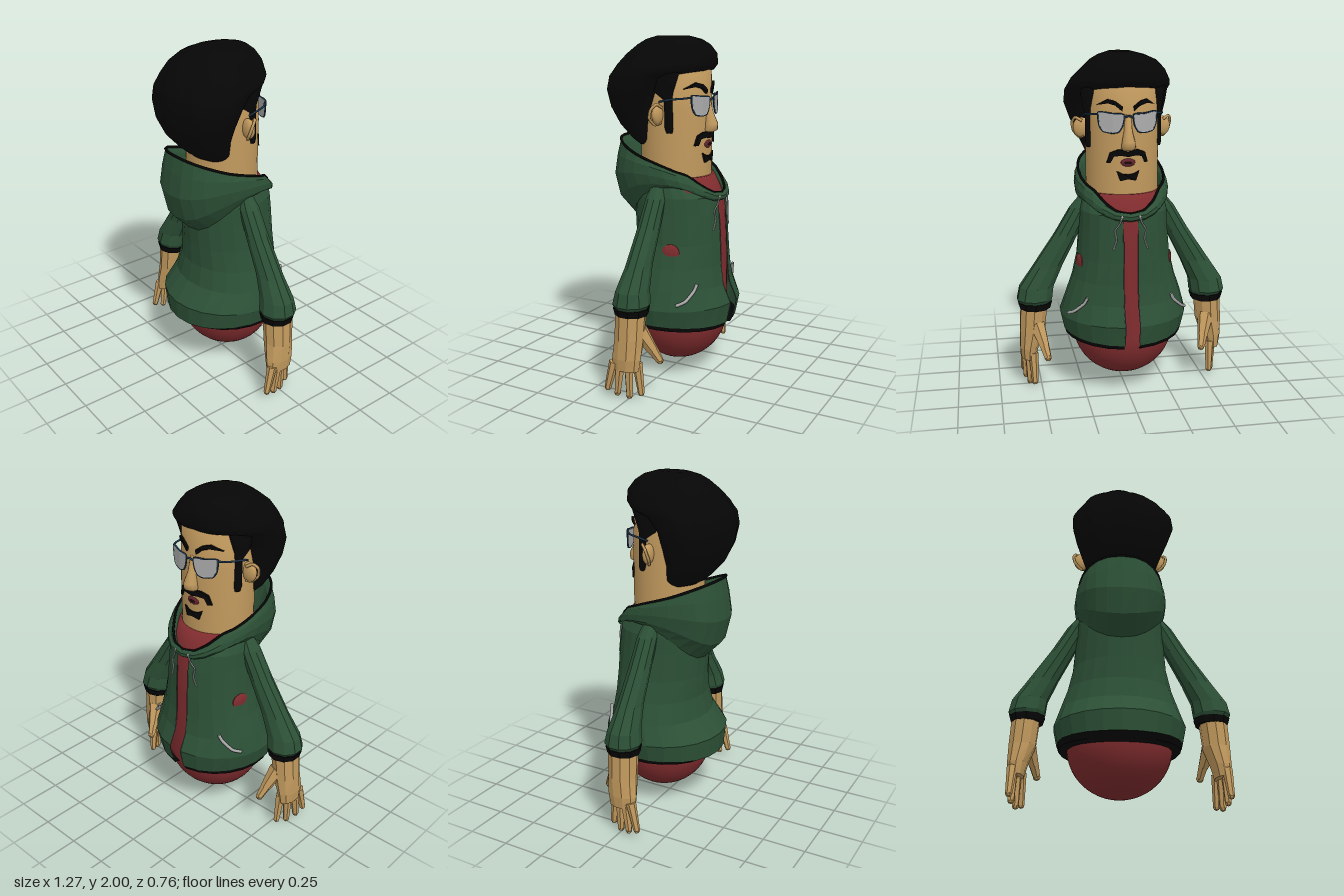
import * as THREE from 'three';
import { mergeVertices } from 'three/addons/utils/BufferGeometryUtils.js';

const mat = (color, flat = false, side = THREE.FrontSide) =>
  new THREE.MeshStandardMaterial({ color, flatShading: flat, side });
const GREEN = 0x2c5036, RED = 0x802c2e, SKIN = 0xc29a5e, BLACK = 0x060606, STEEL = 0xaaaaaa, BLUE = 0x1f3a52;
const V = (x, y, z) => new THREE.Vector3(x, y, z);
const spow = (v, e) => Math.sign(v) * Math.abs(v) ** e;

// Grid surface from fn(u, v) -> [x, y, z]
function surface(fn, nu, nv) {
  const pos = [], index = [];
  for (let j = 0; j <= nv; j++) for (let i = 0; i <= nu; i++) pos.push(...fn(i / nu, j / nv));
  for (let j = 0; j < nv; j++) for (let i = 0; i < nu; i++) {
    const a = j * (nu + 1) + i, b = a + 1, c = a + nu + 1, d = c + 1;
    index.push(a, b, d, a, d, c);
  }
  let g = new THREE.BufferGeometry();
  g.setAttribute('position', new THREE.Float32BufferAttribute(pos, 3));
  g.setIndex(index);
  g = mergeVertices(g, 1e-5);
  g.computeVertexNormals();
  return g;
}

// Closed loft of horizontal rings [y, centreX, halfWidth, zBack, zFront], bottom to top
function loft(rings, sides, { e = 1, wave = () => 1, steps = 1 } = {}) {
  const mid = r => (r[3] + r[4]) / 2;
  const first = rings[0], last = rings[rings.length - 1];
  const n = (rings.length - 1) * steps;
  const at = t => {
    const i = Math.min(Math.floor(t), rings.length - 2), f = t - i;
    return rings[i].map((v, k) => v + (rings[i + 1][k] - v) * f);
  };
  const rows = [[first[0], first[1], 0, mid(first), mid(first)]];
  for (let j = 0; j <= n; j++) rows.push(at(j / steps));
  rows.push([last[0], last[1], 0, mid(last), mid(last)]);
  return surface((u, v) => {
    const [y, cx, rx, zb, zf] = rows[Math.round(v * (rows.length - 1))];
    const a = (u % 1) * Math.PI * 2, k = wave(a, y);
    return [cx + rx * spow(Math.sin(a), e) * k, y, (zb + zf) / 2 + (zb - zf) / 2 * spow(Math.cos(a), e) * k];
  }, sides, rows.length - 1);
}

// Tapered rod between two points
function rod(a, b, ra, rb, sides = 6) {
  const g = new THREE.CylinderGeometry(rb, ra, a.distanceTo(b), sides);
  g.applyQuaternion(new THREE.Quaternion().setFromUnitVectors(V(0, 1, 0), b.clone().sub(a).normalize()));
  const m = a.clone().add(b).multiplyScalar(0.5);
  return g.translate(m.x, m.y, m.z);
}
const tube = (pts, r, closed = false) =>
  new THREE.TubeGeometry(new THREE.CatmullRomCurve3(pts, closed, 'catmullrom', 0.3), pts.length * 5, r, 5, closed);

// Flat outline given thickness and bent over the front of the face
const faceZ = x => -Math.sqrt(0.212 ** 2 - x * x) + 0.006;
const glassZ = x => -0.222 + 1.6 * x * x;
function decal(pts, depth, zAt = faceZ) {
  const shape = new THREE.Shape(pts.map(p => new THREE.Vector2(...p)));
  const g = new THREE.ExtrudeGeometry(shape, { depth, bevelEnabled: false });
  const p = g.attributes.position;
  for (let i = 0; i < p.count; i++) p.setZ(i, zAt(p.getX(i)) - depth + p.getZ(i));
  g.computeVertexNormals();
  return g;
}

// Jacket rows: [y, halfWidth, zBack, zFront]
const JACKET = [[0.37, 0.358, 0.335, -0.36], [0.47, 0.38, 0.345, -0.382], [0.58, 0.348, 0.25, -0.335], [0.7, 0.307, 0.225, -0.32],
  [0.83, 0.277, 0.228, -0.315], [1.0, 0.263, 0.24, -0.305], [1.1, 0.26, 0.24, -0.292], [1.19, 0.24, 0.2, -0.2]];
const HEM = [[0.335, 0.3, 0.25, -0.3], [0.345, 0.348, 0.29, -0.345], [0.378, 0.358, 0.333, -0.36]];
const openShell = (rows, gap, sides) => surface((u, v) => {
  const [y, rx, zb, zf] = rows[Math.round(v * (rows.length - 1))];
  const g = Math.asin(gap / rx), a = Math.PI + g + u * 2 * (Math.PI - g);
  const dip = y < 0.4 ? 0.02 * Math.cos(a) ** 2 : 0;
  return [rx * Math.sin(a), y - dip, (zb + zf) / 2 + (zb - zf) / 2 * Math.cos(a)];
}, sides, rows.length - 1);

// Hood profile: [halfWidth, zBack, zFront, yBack, ySide, yFront, frontDip]
const HOOD = [[0.252, 0.235, -0.298, 0.94, 1.16, 1.07, 0], [0.268, 0.335, -0.302, 1.04, 1.18, 1.1, 0.02],
  [0.275, 0.37, -0.292, 1.19, 1.23, 1.14, 0.04], [0.268, 0.35, -0.265, 1.32, 1.28, 1.175, 0.06],
  [0.25, 0.33, -0.245, 1.42, 1.31, 1.195, 0.08], [0.235, 0.3, -0.232, 1.38, 1.28, 1.18, 0.08], [0.215, 0.21, -0.2, 1.15, 1.14, 1.08, 0]];
function hoodPoint([rx, zb, zf, yb, ys, yf, dip], a) {
  const c = Math.cos(a), v = Math.max(0, -c - 0.75) * 4 * dip;
  return [rx * spow(Math.sin(a), 0.85), ys + (yb - yf) / 2 * c + ((yb + yf) / 2 - ys) * c * c - v,
    (zb + zf) / 2 + (zb - zf) / 2 * spow(c, 0.9) - v * 0.6];
}

// Soft scalloped locks, strongest at the back
const locks = (a, y) => 1 + (0.05 * Math.abs(Math.sin(4.5 * a + 2.5 * y)) - 0.035) * (0.25 + 0.75 * Math.max(0, Math.cos(a)));

export function createModel() {
  const root = new THREE.Group();
  const add = (name, geo, material) => {
    const m = new THREE.Mesh(geo, material);
    m.name = name;
    root.add(m);
    return m;
  };
  const black = mat(BLACK), skin = mat(SKIN), skinFlat = mat(SKIN, true), steel = mat(STEEL, false, THREE.DoubleSide);
  const green = mat(GREEN, true, THREE.DoubleSide), blackCloth = mat(BLACK, true, THREE.DoubleSide), red = mat(RED), blue = mat(BLUE);

  // Rounded shirt body with its collar
  const body = [];
  for (let i = 0; i <= 14; i++) {
    const t = (0.02 + 0.98 * i / 14) * Math.PI / 2, s = Math.sin(t);
    body.push([0.365 - 0.29 * Math.cos(t), 0, 0.3 * s, -0.03 + 0.28 * s, -0.03 - 0.28 * s]);
  }
  body.push([0.8, 0, 0.27, 0.215, -0.305], [1.05, 0, 0.25, 0.22, -0.292], [1.13, 0, 0.238, 0.21, -0.268], [1.21, 0, 0.222, 0.21, -0.224]);
  add('shirt', loft(body, 40), red);

  // Open jacket, hem and hood
  add('jacket', openShell(JACKET, 0.042, 22), green);
  add('jacketHem', openShell(HEM, 0.045, 22), blackCloth);
  add('hood', surface((u, v) => hoodPoint(HOOD[Math.round(v * 6)], (u % 1) * Math.PI * 2), 24, 6), green);
  const rim = [];
  for (let i = 0; i < 24; i++) rim.push(V(...hoodPoint(HOOD[4], i / 24 * Math.PI * 2)));
  add('hoodRim', tube(rim, 0.008, true), black);

  // Head, nose and mouth
  add('head', loft([[1.12, 0, 0.205, 0.2, -0.2], [1.2, 0, 0.212, 0.205, -0.208], [1.6, 0, 0.212, 0.205, -0.208],
    [1.88, 0, 0.2, 0.2, -0.2]], 40), skin);
  add('nose', loft([[1.462, 0, 0.03, -0.18, -0.24], [1.475, 0, 0.042, -0.18, -0.262], [1.51, 0, 0.038, -0.18, -0.266],
    [1.57, 0, 0.024, -0.18, -0.238], [1.66, 0, 0.018, -0.18, -0.212]], 12), skin);
  const mouth = add('mouth', new THREE.SphereGeometry(1, 16, 10), mat(0x64242e));
  mouth.scale.set(0.042, 0.024, 0.012);
  mouth.position.set(0, 1.392, -0.204);
  const opening = add('mouthOpening', new THREE.SphereGeometry(1, 12, 8), mat(0x1a0808));
  opening.scale.set(0.025, 0.01, 0.008);
  opening.position.set(0, 1.392, -0.211);
  add('chinBeard', decal([[-0.065, 1.345], [-0.03, 1.328], [0, 1.325], [0.03, 1.328], [0.065, 1.345], [0.045, 1.288], [0, 1.298], [-0.045, 1.288]], 0.012), black);

  // Full hair with locks at the back and an overhanging fringe
  add('hair', loft([[1.385, 0, 0.165, 0.2, 0.02], [1.42, 0, 0.2, 0.24, 0.02], [1.5, 0, 0.235, 0.315, 0.03], [1.6, 0.004, 0.275, 0.365, 0.01],
    [1.7, 0.01, 0.305, 0.38, -0.02], [1.775, 0.008, 0.303, 0.372, -0.09], [1.808, 0.003, 0.296, 0.358, -0.2], [1.84, 0, 0.284, 0.34, -0.228],
    [1.9, -0.012, 0.24, 0.292, -0.225], [1.95, -0.01, 0.19, 0.23, -0.19], [1.98, 0, 0.13, 0.18, -0.15], [2, 0.01, 0.06, 0.11, -0.08]], 96,
  { e: 0.93, steps: 3, wave: locks }), black);
  // Loose lock swelling at one side of the back
  const lock = add('sideLock', new THREE.SphereGeometry(1, 24, 16), black);
  lock.scale.set(0.085, 0.15, 0.085);
  lock.position.set(0.195, 1.69, 0.215);

  for (const s of [1, -1]) {
    const side = s > 0 ? 'left' : 'right';
    const flip = pts => pts.map(([x, y]) => [s * x, y]);
    const P = (x, y, z) => V(s * x, y, z);

    // Facial hair
    add(side + 'Moustache', decal(flip([[0, 1.452], [0.03, 1.465], [0.06, 1.465], [0.1, 1.448], [0.118, 1.39], [0.098, 1.39],
      [0.08, 1.427], [0.04, 1.432], [0, 1.425]]), 0.014), black);
    add(side + 'Eyebrow', decal(flip([[0.03, 1.705], [0.07, 1.735], [0.11, 1.745], [0.165, 1.71], [0.11, 1.722], [0.07, 1.71], [0.035, 1.68]]), 0.014), black);
    add(side + 'Sideburn', loft([[1.465, s * 0.198, 0.018, -0.045, -0.08], [1.49, s * 0.2, 0.022, -0.035, -0.085],
      [1.65, s * 0.2, 0.022, -0.03, -0.08], [1.69, s * 0.2, 0.03, 0.03, -0.085], [1.82, s * 0.2, 0.05, 0.08, -0.13]], 12), black);

    // Ear with a raised rim
    const ear = add(side + 'Ear', new THREE.SphereGeometry(1, 16, 12), skin);
    ear.scale.set(0.05, 0.058, 0.026);
    ear.position.set(s * 0.235, 1.57, -0.005);
    add(side + 'EarRim', tube([P(0.222, 1.525, -0.022), P(0.245, 1.513, 0.008), P(0.278, 1.55, 0.022), P(0.288, 1.6, 0.008),
      P(0.272, 1.63, -0.02), P(0.235, 1.61, -0.034)], 0.009), skin);

    // Glasses
    const lens = [[0.028, 1.662], [0.09, 1.668], [0.165, 1.675], [0.16, 1.605], [0.14, 1.57], [0.09, 1.56], [0.055, 1.568], [0.034, 1.605]];
    add(side + 'Lens', decal(flip(lens), 0.008, glassZ), steel);
    add(side + 'LensFrame', tube(lens.map(([x, y]) => P(x, y, glassZ(x) - 0.004)), 0.005, true), blue);
    add(side + 'GlassesArm', tube([P(0.165, 1.665, -0.18), P(0.2, 1.66, -0.14), P(0.222, 1.655, -0.08), P(0.228, 1.64, -0.01)], 0.006), blue);

    // Sleeve and cuff
    add(side + 'Sleeve', loft([[0.53, s * 0.527, 0.095, 0.092, -0.092], [0.555, s * 0.53, 0.108, 0.105, -0.108], [0.63, s * 0.517, 0.105, 0.09, -0.094],
      [0.75, s * 0.45, 0.09, 0.068, -0.074], [0.95, s * 0.332, 0.072, 0.06, -0.066], [1.1, s * 0.25, 0.064, 0.056, -0.062],
      [1.165, s * 0.225, 0.032, 0.04, -0.045]], 10), mat(GREEN, true));
    add(side + 'Cuff', loft([[0.495, s * 0.528, 0.092, 0.095, -0.095], [0.535, s * 0.528, 0.105, 0.102, -0.102]], 10), mat(BLACK, true));

    // Hand, four fingers and thumb
    add(side + 'Palm', loft([[0.18, s * 0.573, 0.045, 0.1, -0.068], [0.25, s * 0.568, 0.058, 0.102, -0.078], [0.36, s * 0.547, 0.078, 0.09, -0.083],
      [0.51, s * 0.535, 0.082, 0.09, -0.088]], 10), skinFlat);
    for (const [x0, z0, x1, y1, z1] of [[0.59, 0.08, 0.597, 0.045, 0.12], [0.588, 0.04, 0.588, 0.022, 0.062],
      [0.57, -0.003, 0.568, 0.008, -0.004], [0.548, -0.045, 0.543, 0.028, -0.066]]) {
      const knuckle = P(x0, 0.22, z0), tip = P(x1, y1 + 0.014, z1);
      add(side + 'Finger', rod(knuckle, tip, 0.029, 0.019), skinFlat);
      add(side + 'Fingertip', new THREE.SphereGeometry(0.019, 6, 4).translate(tip.x, tip.y, tip.z), skinFlat);
    }
    add(side + 'ThumbBase', rod(P(0.52, 0.4, -0.045), P(0.485, 0.285, -0.11), 0.05, 0.031), skinFlat);
    add(side + 'ThumbTip', rod(P(0.487, 0.295, -0.105), P(0.468, 0.225, -0.145), 0.031, 0.022), skinFlat);
    add(side + 'ThumbEnd', new THREE.SphereGeometry(0.022, 6, 4).translate(s * 0.468, 0.225, -0.145), skinFlat);

    // Shirt showing through at the side, pocket zip, front zip and drawstring
    const patch = add(side + 'SidePatch', new THREE.SphereGeometry(1, 10, 8), mat(RED, true));
    patch.scale.set(0.014, 0.048, 0.055);
    patch.position.set(s * 0.268, 0.795, -0.105);
    patch.rotation.y = s * 0.2;
    add(side + 'PocketZip', tube([P(0.348, 0.512, -0.18), P(0.318, 0.535, -0.225), P(0.265, 0.585, -0.252), P(0.245, 0.625, -0.262)], 0.01), steel);
    add(side + 'FrontZip', tube(JACKET.slice(0, 6).map(([y, , , zf]) => P(0.042, y, zf + 0.003)), 0.003), mat(0x555555));
    add(side + 'Drawstring', tube([P(0.05, 1.1, -0.304), P(0.065, 1.06, -0.303), P(0.09, 1.02, -0.293), P(0.08, 0.97, -0.298), P(0.1, 0.91, -0.294)], 0.005), steel);
    add(side + 'Eyelet', new THREE.SphereGeometry(0.01, 8, 6).translate(s * 0.05, 1.1, -0.302), steel);
  }
  add('glassesBridge', tube([V(-0.03, 1.645, -0.225), V(0, 1.655, -0.232), V(0.03, 1.645, -0.225)], 0.006), blue);
  return root;
}
